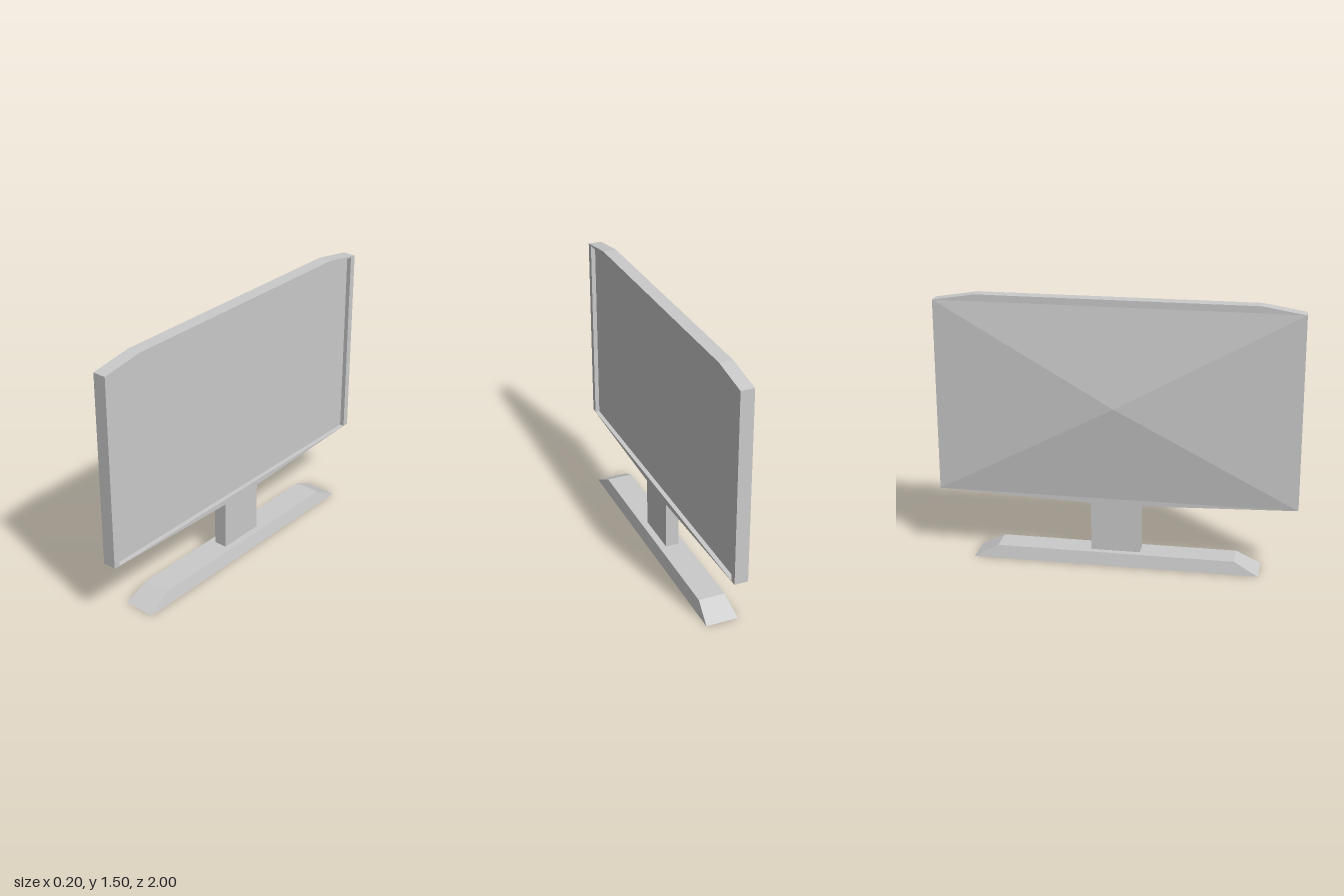
import * as THREE from 'three';

const grey = new THREE.MeshStandardMaterial({ color: 0xcacaca });
grey.name = 'grey';

const BACK = -0.03, SCREEN = 0.02, FRONT = 0.045; // depth planes along x
const LOW = 0.381, HIGH = 1.467;                  // screen bottom and top
const FOOT_HEIGHT = 0.072;

function addPart(group, name, geometry) {
  const mesh = new THREE.Mesh(geometry, grey);
  mesh.name = name;
  group.add(mesh);
}

// Mirrors half an outline (bottom to top) into a closed list of points
function symmetric(half) {
  const other = half.map(([u, v]) => new THREE.Vector2(-u, v)).reverse();
  return half.map(([u, v]) => new THREE.Vector2(u, v)).concat(other);
}

// Extrudes a side outline from x0 to x1
function slab(shape, x0, x1) {
  const g = new THREE.ExtrudeGeometry(shape, { depth: x1 - x0, bevelEnabled: false });
  return g.rotateY(Math.PI / 2).translate(x0, 0, 0);
}

// Long foot tapering towards its top on all sides
function footGeometry() {
  const g = new THREE.BoxGeometry(2, FOOT_HEIGHT, 2).translate(0, FOOT_HEIGHT / 2, 0);
  const p = g.attributes.position;
  for (let i = 0; i < p.count; i++) {
    const top = p.getY(i) > 0.01;
    p.setX(i, 0.0085 + p.getX(i) * (top ? 0.075 : 0.0915));
    p.setZ(i, p.getZ(i) * (top ? 0.665 : 0.8));
  }
  g.computeVertexNormals();
  return g;
}

// Shallow four-sided pyramid swelling out of the back of the casing
function bulgeGeometry() {
  const apex = [-0.101, (LOW + HIGH) / 2, 0];
  const rim = [[LOW, 1], [HIGH, 1], [HIGH, -1], [LOW, -1]];
  const points = [];
  rim.forEach(([y, z], i) => {
    const [y2, z2] = rim[(i + 1) % 4];
    points.push(...apex, BACK, y, z, BACK, y2, z2);
  });
  const g = new THREE.BufferGeometry();
  g.setAttribute('position', new THREE.Float32BufferAttribute(points, 3));
  g.computeVertexNormals();
  return g;
}

export function createModel() {
  const model = new THREE.Group();
  model.name = 'flatScreenMonitor';

  // Casing and neck share one outline
  const outline = symmetric([
    [0.137, 0.07], [0.137, 0.349], [1, LOW], [1, HIGH], [0.765, 1.505],
  ]);
  addPart(model, 'casingAndScreen', slab(new THREE.Shape(outline), BACK, SCREEN));

  // Front layer with the screen opening
  const bezel = new THREE.Shape(outline);
  bezel.holes.push(new THREE.Path(symmetric([[0.964, LOW], [0.964, HIGH]]).reverse()));
  addPart(model, 'bezel', slab(bezel, SCREEN, FRONT));

  addPart(model, 'rearBulge', bulgeGeometry());
  addPart(model, 'foot', footGeometry());
  return model;
}
